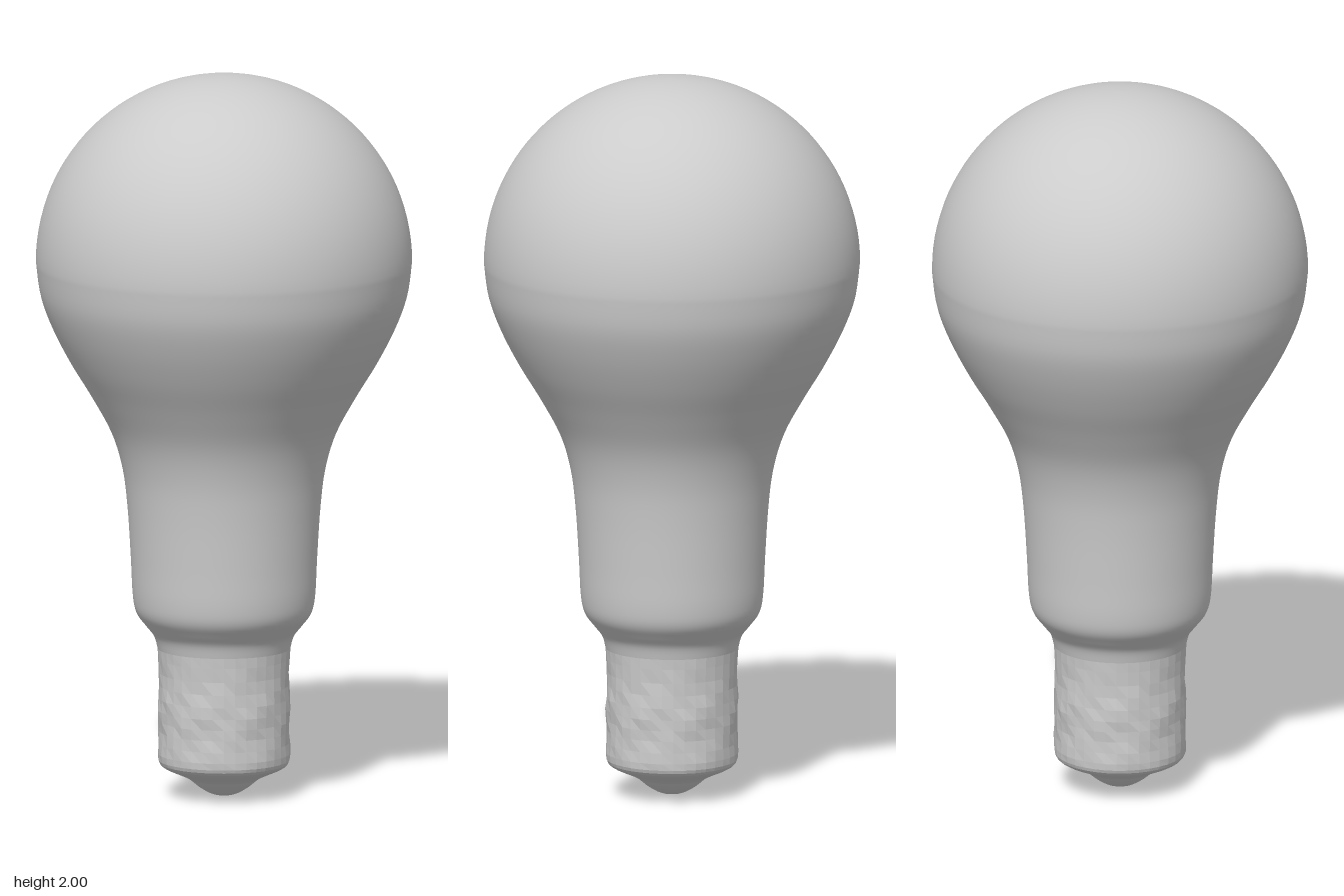
import * as THREE from 'three';

const grey = (flatShading = false) => new THREE.MeshStandardMaterial({ color: 0xcccccc, flatShading });
const v2 = ([r, y]) => new THREE.Vector2(r, y);

// Smooth profile through [radius, height] points, bottom to top
const smooth = (points, n) => new THREE.SplineCurve(points.map(v2)).getPoints(n)
  .map((p) => new THREE.Vector2(Math.max(p.x, 0), p.y));

function lathe(name, profile, segments, material) {
  const mesh = new THREE.Mesh(new THREE.LatheGeometry(profile, segments), material);
  mesh.name = name;
  return mesh;
}

// Slight hammered unevenness, fading out at both ends of a height range
function roughen(geometry, y0, y1, amount) {
  const p = geometry.attributes.position;
  for (let i = 0; i < p.count; i++) {
    const x = p.getX(i), y = p.getY(i), z = p.getZ(i);
    const a = Math.atan2(z, x);
    const fade = Math.sin(Math.PI * THREE.MathUtils.clamp((y - y0) / (y1 - y0), 0, 1));
    const wave = Math.sin(7 * a + 43 * y) + Math.sin(11 * a - 71 * y + 1) * 0.7;
    const s = 1 + amount * fade * wave;
    p.setXYZ(i, x * s, y, z * s);
  }
  geometry.computeVertexNormals();
}

export function createModel() {
  const group = new THREE.Group();
  group.name = 'lightBulb';

  // Glass: shoulder and neck flow into a spherical crown
  const R = 0.515, cy = 1.485;
  const neck = smooth([
    [0.182, 0.41], [0.192, 0.445], [0.215, 0.475], [0.24, 0.51], [0.25, 0.56], [0.255, 0.66],
    [0.264, 0.8], [0.278, 0.91], [0.308, 1.01], [0.362, 1.11], [0.42, 1.205],
    [0.469, 1.3], [0.502, 1.39], [R, cy],
  ], 60);
  const crown = [];
  for (let i = 1; i <= 28; i++) {
    const t = (i / 28) * Math.PI / 2;
    crown.push(new THREE.Vector2(Math.max(R * Math.cos(t), 0), cy + R * Math.sin(t)));
  }
  group.add(lathe('glassBulb', [...neck, ...crown], 72, grey()));

  // Metal base: uneven sleeve with a rounded lower rim
  const sleeve = lathe('screwBase', smooth([
    [0.145, 0.07], [0.172, 0.085], [0.181, 0.11], [0.179, 0.18], [0.181, 0.25],
    [0.178, 0.33], [0.182, 0.41],
  ], 14), 36, grey(true));
  roughen(sleeve.geometry, 0.07, 0.41, 0.009);
  group.add(sleeve);

  // Contact tip closing the underside
  group.add(lathe('contactTip', smooth([
    [0, 0], [0.035, 0.006], [0.07, 0.026], [0.1, 0.05], [0.145, 0.07],
  ], 10), 36, grey(true)));

  return group;
}
